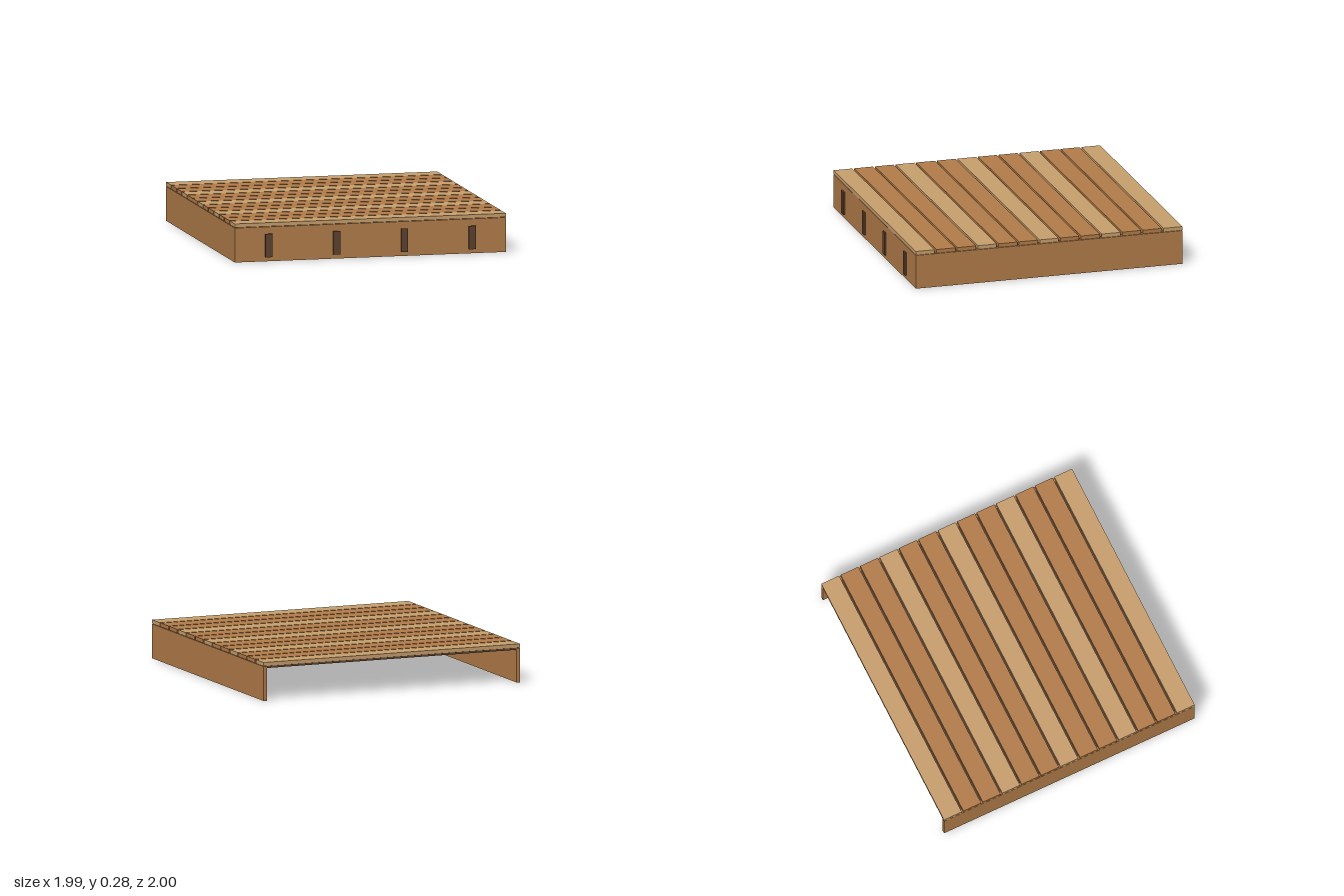
import * as THREE from 'three';

const paint = (name, color) => {
  const m = new THREE.MeshStandardMaterial({ color });
  m.name = name;
  return m;
};

export function createModel() {
  const group = new THREE.Group();
  group.name = 'woodenDeck';
  const paleWood = paint('pale wood', 0xc9a06e);
  const wood = paint('warm wood', 0xb37d4a);
  const darkWood = paint('dark wood', 0x5e422e);

  // Box given by its lower and upper corners
  const box = (name, mat, [x0, y0, z0], [x1, y1, z1]) => {
    const mesh = new THREE.Mesh(new THREE.BoxGeometry(x1 - x0, y1 - y0, z1 - z0), mat);
    mesh.position.set((x0 + x1) / 2, (y0 + y1) / 2, (z0 + z1) / 2);
    mesh.name = name;
    group.add(mesh);
  };

  const W = 0.995, back = -0.997, front = 0.988;
  const sideTop = 0.248, deckTop = 0.278, thick = 0.026;

  // Top planks, every third one pale
  const count = 13, plankDepth = 0.14;
  const pitch = (front - back - plankDepth) / (count - 1);
  for (let i = 0; i < count; i++) {
    const z = back + i * pitch;
    box('plank', i % 3 === 0 ? paleWood : wood, [-W, 0.251, z], [W, deckTop, z + plankDepth]);
  }

  // Dark sheet below the planks
  box('subDeck', darkWood, [-W + thick, 0.236, back + 0.002], [W - thick, 0.25, front - thick]);

  // Skirting: two sides and the front; the back stays open
  box('leftSkirt', wood, [W - thick, 0, back], [W, sideTop, front - thick]);
  box('rightSkirt', wood, [-W, 0, back], [-W + thick, sideTop, front - thick]);
  box('frontSkirt', wood, [-W, 0, front - thick], [W, sideTop, front]);

  // Upright battens on the front
  for (const x of [-0.747, -0.249, 0.249, 0.747]) {
    box('frontBatten', darkWood, [x - 0.025, 0.03, front - 0.005], [x + 0.025, 0.198, 1]);
  }
  return group;
}
